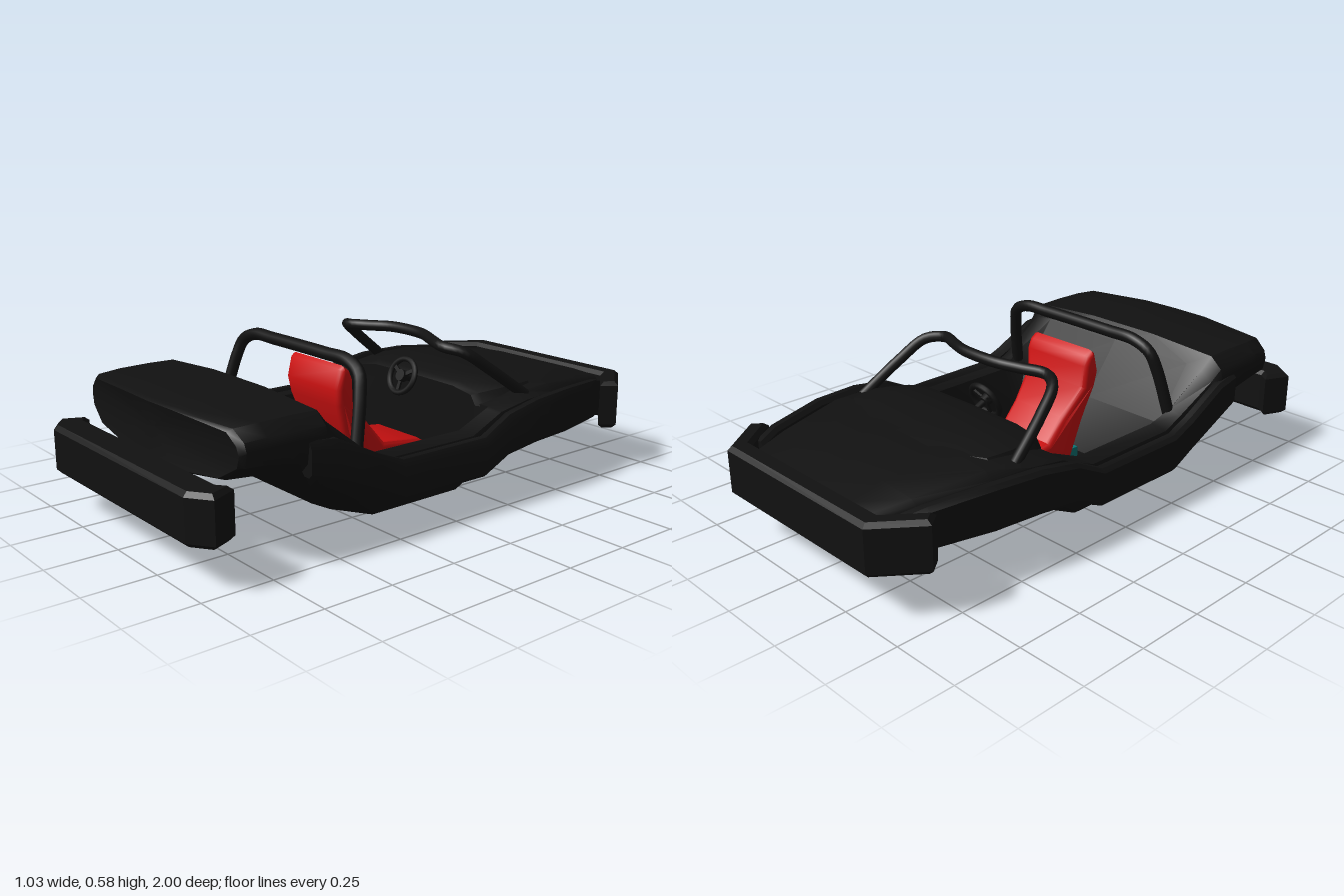
import * as THREE from 'three';
import { toCreasedNormals } from 'three/addons/utils/BufferGeometryUtils.js';

const black = new THREE.MeshStandardMaterial({ color: 0x111111, side: THREE.DoubleSide });
const red = new THREE.MeshStandardMaterial({ color: 0xcc1111 });
const teal = new THREE.MeshStandardMaterial({ color: 0x0b7474 });
const V = (x, y, z) => new THREE.Vector3(x, y, z);

// Skin a list of rings (counter-clockwise seen from +z, ordered from -z to +z) and cap both ends
function loft(rings, crease = 0.6) {
  const pos = [];
  const tri = (...pts) => pts.forEach((p) => pos.push(p.x, p.y, p.z));
  const n = rings[0].length;
  const middle = (ring) => ring.reduce((m, p) => m.add(p), V(0, 0, 0)).divideScalar(n);
  const last = rings[rings.length - 1];
  const c0 = middle(rings[0]), c1 = middle(last);
  for (let j = 0; j < n; j++) {
    const k = (j + 1) % n;
    for (let i = 0; i + 1 < rings.length; i++) {
      const a = rings[i][j], b = rings[i][k], c = rings[i + 1][k], d = rings[i + 1][j];
      tri(a, b, c);
      tri(a, c, d);
    }
    tri(c0, rings[0][k], rings[0][j]);
    tri(c1, last[j], last[k]);
  }
  const geo = new THREE.BufferGeometry();
  geo.setAttribute('position', new THREE.Float32BufferAttribute(pos, 3));
  return toCreasedNormals(geo, crease);
}

// Half outline from bottom centre to top centre, mirrored into a closed ring
function mirrorRing(half, z, bow = 0) {
  const left = half.slice(1, -1).reverse().map(([x, y]) => [-x, y]);
  return [...half, ...left].map(([x, y]) => V(x, y, z - bow * x * x));
}

// Plan outline (x, z), extruded upward with chamfered edges
function bumper(half, y0, y1) {
  const pts = [...half, ...half.slice().reverse().map(([x, z]) => [-x, z])];
  const shape = new THREE.Shape(pts.map(([x, z]) => new THREE.Vector2(x, -z)));
  const bevel = 0.015;
  const geo = new THREE.ExtrudeGeometry(shape, {
    depth: y1 - y0 - 2 * bevel, bevelThickness: bevel, bevelSize: bevel, bevelOffset: -bevel, bevelSegments: 1,
  });
  geo.rotateX(-Math.PI / 2).translate(0, y0 + bevel, 0);
  return toCreasedNormals(geo, 0.4);
}

// Symmetric tube frame through half its points, from foot to centre
function hoop(half, radius) {
  const pts = [...half, ...half.slice().reverse().map(([x, y, z]) => [-x, y, z])];
  const curve = new THREE.CatmullRomCurve3(pts.map((p) => V(...p)), false, 'centripetal');
  return new THREE.TubeGeometry(curve, 64, radius, 10);
}

export function createModel() {
  const model = new THREE.Group();
  const add = (name, geo, mat = black) => {
    const mesh = new THREE.Mesh(geo, mat);
    mesh.name = name;
    model.add(mesh);
    return mesh;
  };

  // Hull: z, bottom, half width, rim y, inner rim x, inner rim y, floor half width, floor y, centre y
  const hull = [
    [-0.94, 0.23, 0.33, 0.31, 0.3, 0.325, 0.2, 0.33, 0.33],
    [-0.8, 0.2, 0.37, 0.33, 0.34, 0.345, 0.2, 0.355, 0.355],
    [-0.55, 0.2, 0.43, 0.345, 0.39, 0.37, 0.25, 0.385, 0.39],
    [-0.4, 0.135, 0.45, 0.345, 0.4, 0.365, 0.27, 0.375, 0.38],
    [-0.26, 0.07, 0.455, 0.325, 0.38, 0.33, 0.31, 0.33, 0.335],
    [-0.25, 0.065, 0.455, 0.32, 0.38, 0.325, 0.32, 0.1, 0.1],
    [-0.12, 0.002, 0.46, 0.265, 0.38, 0.27, 0.32, 0.045, 0.045],
    [0.26, 0, 0.46, 0.265, 0.38, 0.27, 0.32, 0.045, 0.045],
    [0.34, 0.04, 0.46, 0.3, 0.4, 0.31, 0.35, 0.24, 0.24],
    [0.49, 0.137, 0.475, 0.39, 0.42, 0.425, 0.35, 0.43, 0.43],
    [0.53, 0.163, 0.485, 0.43, 0.43, 0.47, 0.15, 0.487, 0.487],
    [0.63, 0.225, 0.487, 0.435, 0.43, 0.472, 0.15, 0.487, 0.487],
    [0.74, 0.262, 0.485, 0.435, 0.43, 0.47, 0.15, 0.483, 0.483],
    [0.86, 0.27, 0.475, 0.43, 0.42, 0.465, 0.15, 0.477, 0.477],
    [0.875, 0.28, 0.46, 0.42, 0.41, 0.455, 0.15, 0.47, 0.47],
  ];
  add('hull', loft(hull.map(([z, b, w, r, wi, ri, wf, f, c]) => {
    const k = w / 0.46, m = Math.min(1, (r - b) / 0.27);
    const half = [[0, b], [0.14 * k, b], [0.37 * k, b + 0.05 * m], [0.45 * k, b + 0.14 * m],
      [w, r - 0.03], [w - 0.01, r], [wi, ri], [wf, f], [0, c]];
    return mirrorRing(half, z, z > 0.8 ? 0.2 : 0);
  })));

  // Raised scuttle over the dashboard: z, half width, base y, top y
  const scuttle = [
    [-0.58, 0.23, 0.37, 0.386], [-0.5, 0.37, 0.345, 0.397], [-0.4, 0.385, 0.34, 0.402],
    [-0.27, 0.35, 0.32, 0.392], [-0.245, 0.33, 0.325, 0.378],
  ];
  add('scuttle', loft(scuttle.map(([z, w, y, t]) =>
    mirrorRing([[0, y], [w, y], [w * 0.93, y + (t - y) * 0.65], [w * 0.65, t - 0.003], [0, t]], z))));

  // Side rails: z, centre x, bottom, top
  const rail = [
    [-0.88, 0.37, 0.21, 0.325], [-0.8, 0.4, 0.2, 0.345], [-0.58, 0.455, 0.2, 0.36], [-0.4, 0.476, 0.2, 0.355],
    [-0.25, 0.484, 0.185, 0.33], [-0.13, 0.488, 0.132, 0.27], [0.24, 0.488, 0.132, 0.27],
    [0.34, 0.486, 0.18, 0.31], [0.5, 0.482, 0.25, 0.39], [0.6, 0.47, 0.28, 0.4],
  ];
  for (const s of [-1, 1]) {
    add(s > 0 ? 'leftRail' : 'rightRail', loft(rail.map(([z, cx, b, t]) => {
      const h = 0.026, c = 0.014;
      return [[-h + c, b], [h - c, b], [h, b + c], [h, t - 2 * c], [h - c, t], [-h + c, t], [-h, t - c], [-h, b + c]]
        .map(([x, y]) => V(s * cx + x, y, z));
    })));
  }

  // Wrap-around bumpers at both ends
  add('noseBumper', bumper([[0.365, -1], [0.487, -0.845], [0.445, -0.792], [0.34, -0.92]], 0.163, 0.345));
  add('tailBumper', bumper([[0.425, 1], [0.503, 0.945], [0.46, 0.852], [0.42, 0.88]], 0.142, 0.312));

  // Roll hoop behind the seat and windscreen frame ahead of it
  add('rollHoop', hoop([[0.39, 0.29, 0.345], [0.36, 0.46, 0.305], [0.335, 0.525, 0.288],
    [0.27, 0.557, 0.28], [0.15, 0.56, 0.28]], 0.022));
  add('windscreenFrame', hoop([[0.395, 0.35, -0.43], [0.36, 0.46, -0.28], [0.325, 0.525, -0.19],
    [0.26, 0.54, -0.15], [0.17, 0.545, -0.18], [0.08, 0.55, -0.212]], 0.02));

  // Seat: side profile (z, y) swept across, with the backrest flaring at shoulder height
  const profile = [[-0.19, 0.1], [0.12, 0.1], [0.185, 0.25], [0.222, 0.36], [0.232, 0.42], [0.215, 0.49],
    [0.2, 0.503], [0.175, 0.485], [0.16, 0.45], [0.155, 0.37], [0.07, 0.27], [0, 0.19], [-0.17, 0.17], [-0.2, 0.15]];
  const seat = new THREE.ExtrudeGeometry(new THREE.Shape(profile.map(([z, y]) => new THREE.Vector2(-z, y))), {
    depth: 0.22, bevelThickness: 0.02, bevelSize: 0.02, bevelOffset: -0.02, bevelSegments: 3,
  });
  seat.translate(0, 0, -0.11).rotateY(Math.PI / 2);
  const p = seat.attributes.position;
  for (let i = 0; i < p.count; i++) {
    p.setX(i, p.getX(i) * (1 + 0.18 * THREE.MathUtils.smoothstep(p.getY(i), 0.28, 0.4)));
  }
  add('seat', toCreasedNormals(seat, 0.7), red);
  add('seatBase', new THREE.BoxGeometry(0.22, 0.08, 0.3).translate(0, 0.08, 0.02), teal);

  // Steering wheel with hub, spokes and column
  const steering = new THREE.Group();
  steering.name = 'steering';
  const part = (name, geo) => {
    const mesh = new THREE.Mesh(geo, black);
    mesh.name = name;
    steering.add(mesh);
  };
  part('wheelRim', new THREE.TorusGeometry(0.065, 0.011, 8, 28));
  part('hub', new THREE.CylinderGeometry(0.022, 0.022, 0.025, 14).rotateX(Math.PI / 2));
  part('column', new THREE.CylinderGeometry(0.012, 0.012, 0.12, 10).rotateX(Math.PI / 2).translate(0, 0, -0.06));
  for (let i = 0; i < 3; i++) {
    part('spoke', new THREE.BoxGeometry(0.014, 0.06, 0.008).translate(0, -0.035, 0).rotateZ((i * 2 * Math.PI) / 3));
  }
  steering.position.set(0, 0.38, -0.19);
  steering.rotation.x = -0.4;
  model.add(steering);

  return model;
}
